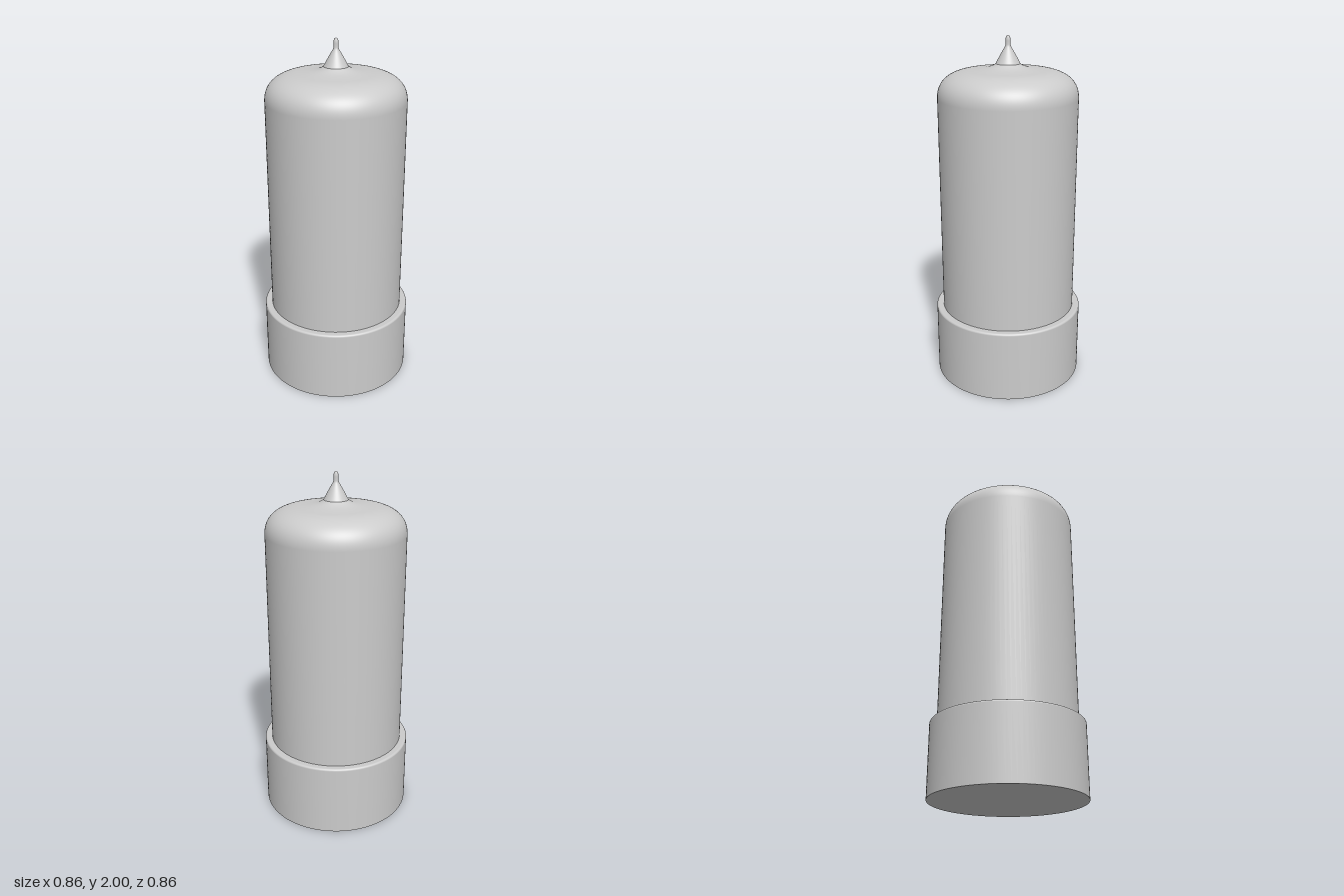
import * as THREE from 'three';

const SEGMENTS = 96;
const material = new THREE.MeshStandardMaterial({ color: 0xcccccc });

// Revolved part; a repeated profile point makes a sharp edge
function revolve(name, points) {
  const profile = points.map(([r, y]) => new THREE.Vector2(r, y));
  const mesh = new THREE.Mesh(new THREE.LatheGeometry(profile, SEGMENTS), material);
  mesh.name = name;
  return mesh;
}

export function createModel() {
  const group = new THREE.Group();
  group.name = 'vacuumTube';

  // Base: solid collar with a flat underside and a softened top rim
  const rim = [];
  for (let i = 0; i <= 4; i++) {
    const a = (i / 4) * Math.PI / 2;
    rim.push([0.418 + 0.012 * Math.cos(a), 0.408 + 0.012 * Math.sin(a)]);
  }
  group.add(revolve('base', [
    [0, 0], [0.43, 0], [0.43, 0], ...rim, [0, 0.42],
  ]));

  // Envelope: straight wall and rounded shoulder, closed inside the base
  const shoulder = new THREE.CubicBezierCurve(
    new THREE.Vector2(0.39, 1.665), new THREE.Vector2(0.39, 1.765),
    new THREE.Vector2(0.31, 1.81), new THREE.Vector2(0.2, 1.815),
  ).getPoints(20).map((p) => [p.x, p.y]);

  // Crown sweeping up into the flared foot of the tip
  const flare = new THREE.CubicBezierCurve(
    new THREE.Vector2(0.2, 1.815), new THREE.Vector2(0.13, 1.822),
    new THREE.Vector2(0.09, 1.828), new THREE.Vector2(0.068, 1.848),
  ).getPoints(10).slice(1).map((p) => [p.x, p.y]);

  group.add(revolve('envelope', [
    [0, 0.4], [0.39, 0.4], [0.39, 0.4], ...shoulder, ...flare, [0, 1.848],
  ]));

  // Sealed tip: cone narrowing to a thin rounded nib
  group.add(revolve('tip', [
    [0.068, 1.848], [0.058, 1.866], [0.044, 1.892], [0.028, 1.92],
    [0.017, 1.938], [0.013, 1.95], [0.014, 1.97], [0.0125, 1.985],
    [0.008, 1.996], [0, 2],
  ]));

  return group;
}
